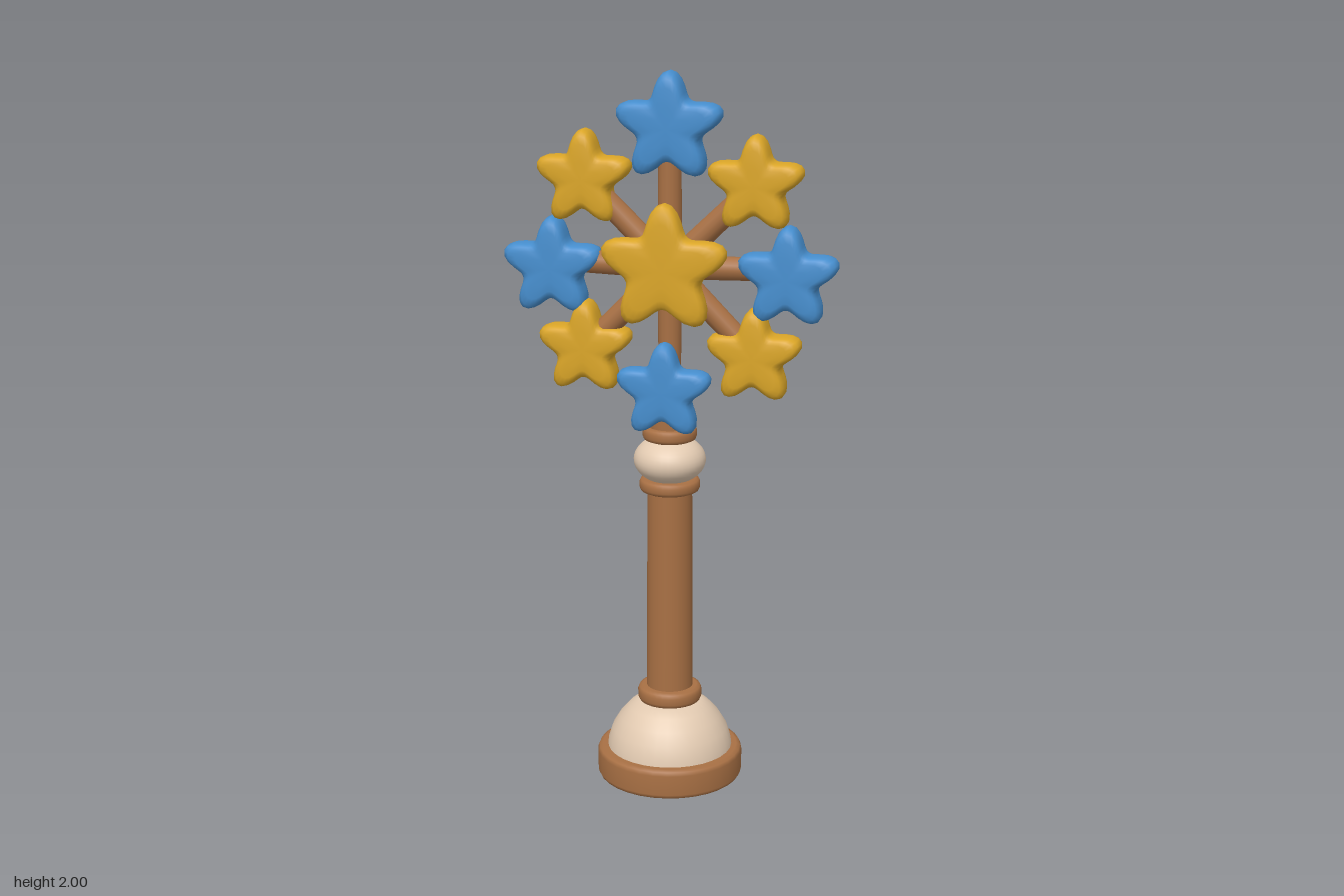
import * as THREE from 'three';
import { mergeVertices } from 'three/addons/utils/BufferGeometryUtils.js';

const material = (name, color) => {
  const m = new THREE.MeshStandardMaterial({ color });
  m.name = name;
  return m;
};

// Puffy five-pointed star facing z: a pill-shaped lathe whose radius follows a star outline
function starGeometry(radius, halfDepth) {
  const half = [[0, 1], [0.4, 1], [0.72, 0.97], [0.88, 0.88], [0.97, 0.65], [1, 0.3]];
  const profile = [
    ...half.map(([r, y]) => new THREE.Vector2(r, -y)),
    ...half.slice().reverse().map(([r, y]) => new THREE.Vector2(r, y)),
  ];
  let geo = new THREE.LatheGeometry(profile, 60).rotateX(Math.PI / 2);
  const p = geo.attributes.position;
  for (let i = 0; i < p.count; i++) {
    const x = p.getX(i), y = p.getY(i);
    const wave = 0.5 + 0.5 * Math.cos(5 * Math.atan2(x, y));
    const s = radius * (0.6 + 0.4 * Math.pow(wave, 1.2));
    p.setXYZ(i, x * s, y * s, p.getZ(i) * halfDepth);
  }
  geo.deleteAttribute('normal');
  geo.deleteAttribute('uv');
  geo = mergeVertices(geo, 1e-5);
  geo.computeVertexNormals();
  return geo;
}

export function createModel() {
  const group = new THREE.Group();
  const brown = material('brown wood', 0xa87044);
  const cream = material('cream', 0xe3cbb2);
  const blue = material('blue', 0x478fcf);
  const gold = material('gold', 0xdba628);

  const add = (name, geo, mat, x = 0, y = 0, z = 0) => {
    const mesh = new THREE.Mesh(geo, mat);
    mesh.name = name;
    mesh.position.set(x, y, z);
    group.add(mesh);
    return mesh;
  };
  const lathe = (name, mat, points) =>
    add(name, new THREE.LatheGeometry(points.map(([r, y]) => new THREE.Vector2(r, y)), 32), mat);
  // Disc with softly rounded rim
  const disc = (name, r, y0, y1, b) => lathe(name, brown, [
    [0, y0], [r - b, y0], [r - b * 0.3, y0 + b * 0.3], [r, y0 + b],
    [r, y1 - b], [r - b * 0.3, y1 - b * 0.3], [r - b, y1], [0, y1],
  ]);

  // Pedestal and column
  disc('baseDisc', 0.205, 0, 0.087, 0.015);
  lathe('baseDome', cream, [[0.177, 0.08], [0.174, 0.105], [0.163, 0.14], [0.142, 0.175],
    [0.115, 0.205], [0.085, 0.225], [0, 0.228]]);
  disc('lowerCollar', 0.09, 0.222, 0.268, 0.014);
  add('post', new THREE.CylinderGeometry(0.062, 0.065, 0.62, 24), brown, 0, 0.56);
  disc('upperCollar', 0.084, 0.845, 0.882, 0.012);
  add('ball', new THREE.SphereGeometry(0.1, 32, 20), cream, 0, 0.935).scale.y = 0.68;
  disc('neckCollar', 0.075, 0.992, 1.03, 0.012);
  lathe('neck', brown, [[0.058, 1.02], [0.06, 1.1], [0.058, 1.15], [0.048, 1.18], [0.03, 1.2], [0, 1.205]]);

  // Hub at the back of the wheel
  const hubY = 1.475;
  add('hub', new THREE.SphereGeometry(0.082, 28, 18), brown, 0, hubY);

  // Star wheel: x, y, z, radius, half depth, colour
  const stars = [
    [0, 1.85, 0.002, 0.15, 0.047, blue],
    [0, 1.145, 0.067, 0.135, 0.038, blue],
  ];
  for (const side of [-1, 1]) {
    stars.push([side * 0.325, 1.46, 0.002, 0.141, 0.047, blue]);
    stars.push([side * 0.235, 1.706, 0.002, 0.134, 0.047, gold]);
    stars.push([side * 0.235, 1.24, 0.002, 0.134, 0.047, gold]);
  }
  const up = new THREE.Vector3(0, 1, 0);
  for (const [x, y, z, r, depth, mat] of stars) {
    add('star', starGeometry(r, depth), mat, x, y, z);
    // Spoke from the hub to the star
    const dir = new THREE.Vector3(x, (mat === blue && x ? 1.48 : y) - hubY, 0);
    const length = dir.length();
    const spoke = add('spoke', new THREE.CylinderGeometry(0.03, 0.034, length, 14), brown,
      dir.x / 2, hubY + dir.y / 2, 0);
    spoke.quaternion.setFromUnitVectors(up, dir.normalize());
  }
  add('centerStar', starGeometry(0.178, 0.038), gold, 0, 1.48, 0.068);

  return group;
}
